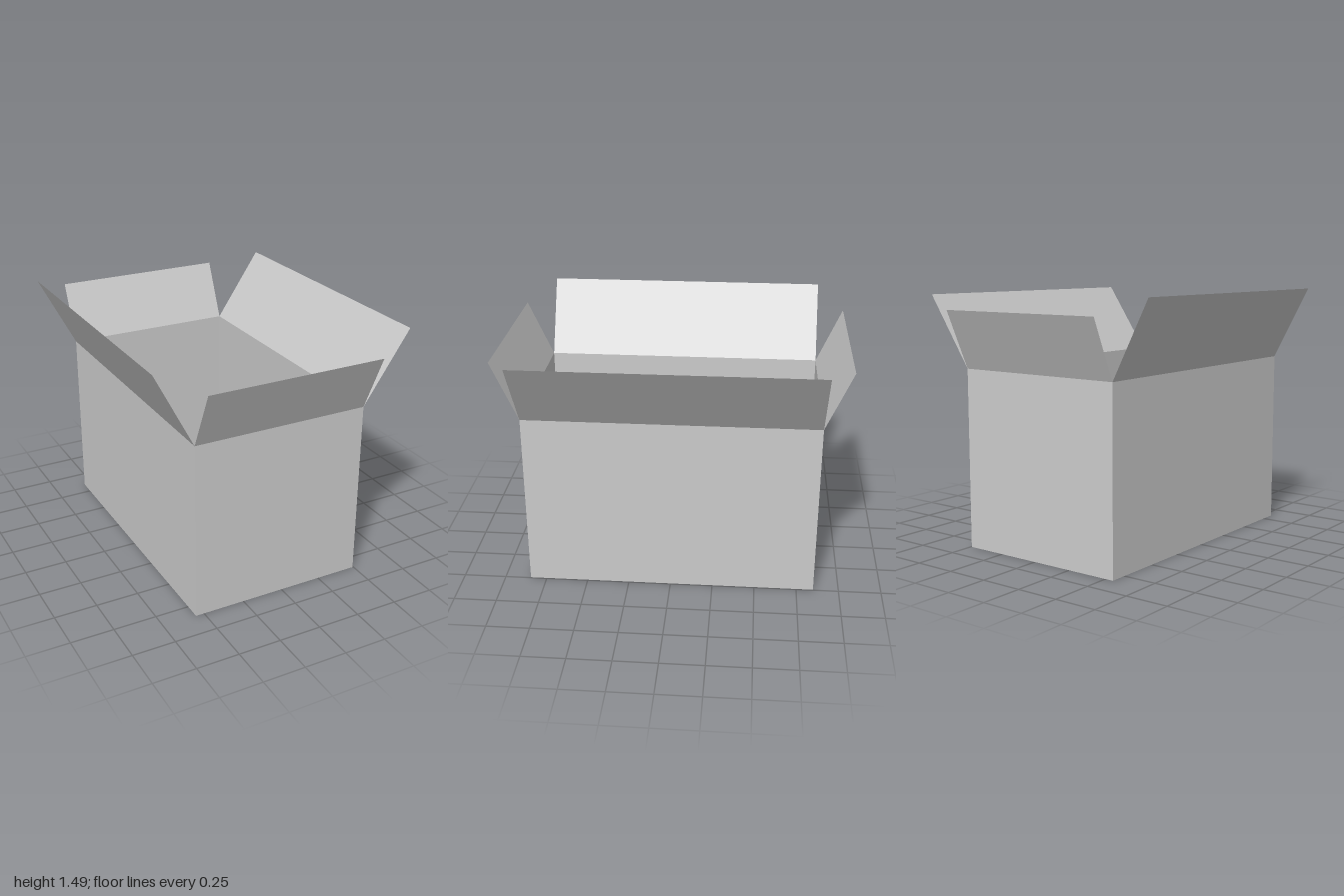
import * as THREE from 'three';

// Box outline and fold height
const L = -0.55, R = 0.495, B = -0.85, F = 0.847, H = 1.05;

export function createModel() {
  const group = new THREE.Group();
  const material = new THREE.MeshStandardMaterial({
    color: 0xcccccc, side: THREE.DoubleSide, flatShading: true,
  });

  // Thin flat sheet from edge a-b, swept by an offset; normal is (b - a) x offset
  function sheet(name, a, b, offset) {
    const shift = (p) => p.map((v, i) => v + offset[i]);
    const geometry = new THREE.BufferGeometry();
    geometry.setAttribute('position',
      new THREE.Float32BufferAttribute([a, b, shift(b), shift(a)].flat(), 3));
    geometry.setIndex([0, 1, 2, 0, 2, 3]);
    geometry.computeVertexNormals();
    const mesh = new THREE.Mesh(geometry, material);
    mesh.name = name;
    group.add(mesh);
  }

  // Each side: name, outline start and end, and the lean of its open flap
  const sides = [
    ['front', [L, F], [R, F], [0, 0.34, 0.153]],
    ['left', [R, F], [R, B], [0.28, 0.415, 0]],
    ['back', [R, B], [L, B], [0, 0.34, -0.15]],
    ['right', [L, B], [L, F], [-0.225, 0.435, 0]],
  ];
  for (const [name, [x0, z0], [x1, z1], lean] of sides) {
    sheet(name + 'Wall', [x0, 0, z0], [x1, 0, z1], [0, H, 0]);
    sheet(name + 'Flap', [x0, H, z0], [x1, H, z1], lean);
  }

  // Floor, facing down
  sheet('floor', [L, 0, B], [R, 0, B], [0, 0, F - B]);
  return group;
}
